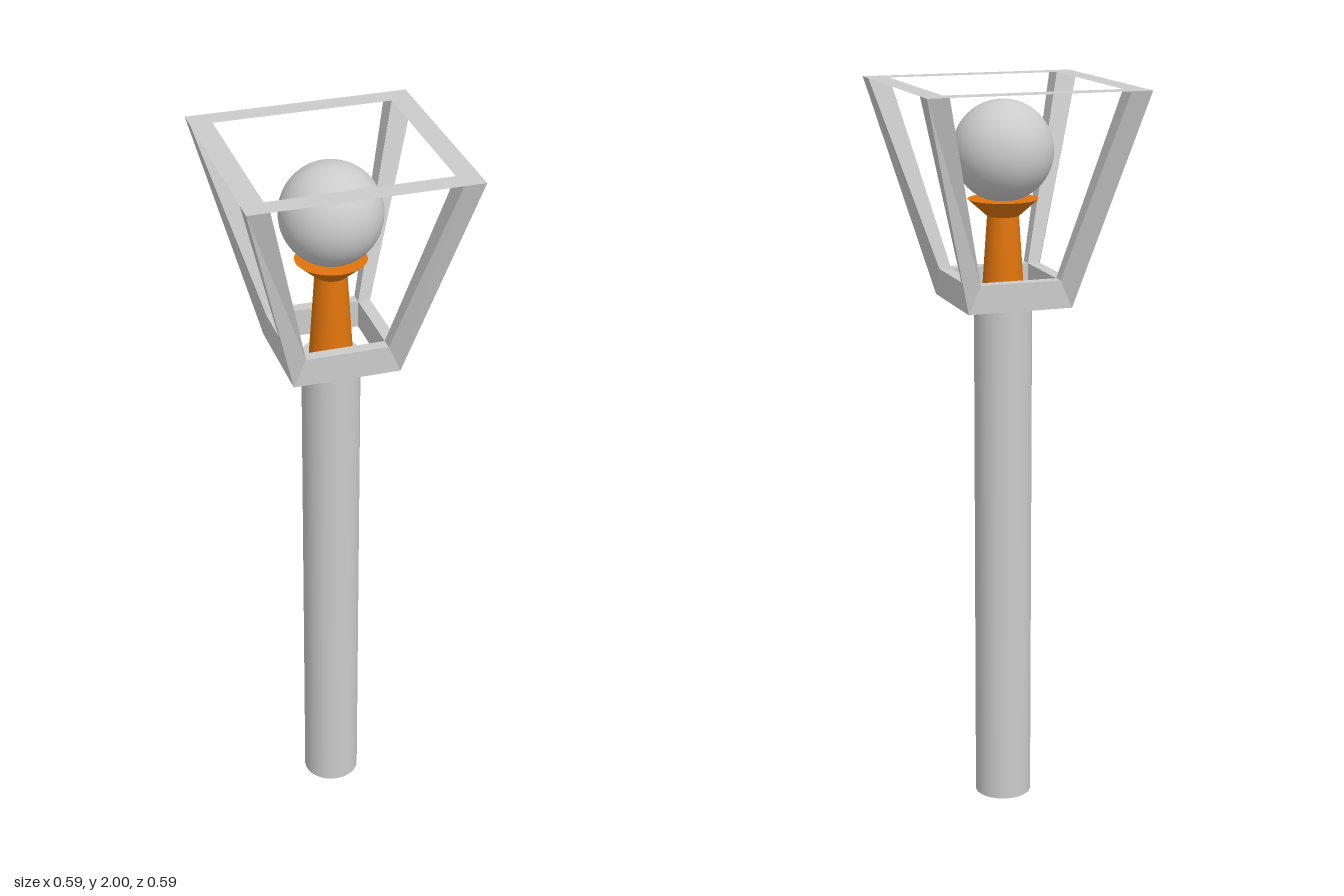
import * as THREE from 'three';

const grey = new THREE.MeshStandardMaterial({ color: 0xcccccc });
const frameGrey = new THREE.MeshStandardMaterial({ color: 0xcccccc, side: THREE.DoubleSide });
const orange = new THREE.MeshStandardMaterial({ color: 0xe0740c });

function add(group, name, geometry, material, y = 0) {
  const mesh = new THREE.Mesh(geometry, material);
  mesh.name = name;
  mesh.position.y = y;
  group.add(mesh);
  return mesh;
}

// Flat-shaded surface from quads whose corners run counter-clockwise
function quadGeometry(quads) {
  const positions = [];
  for (const [a, b, c, d] of quads) positions.push(...a, ...b, ...c, ...a, ...c, ...d);
  const g = new THREE.BufferGeometry();
  g.setAttribute('position', new THREE.Float32BufferAttribute(positions, 3));
  g.computeVertexNormals();
  return g;
}

// One side of the lantern frame
function frameSide() {
  const side = new THREE.Group();
  const corners = (x, y, z) => [[x, y, z], [-x, y, z]]; // right, mirrored left
  const topOuter = corners(0.296, 2, 0.296);
  const topEdge = corners(0.238, 2, 0.296);
  const topInner = corners(0.238, 2, 0.238);
  const baseOuter = corners(0.143, 1.425, 0.143);
  const baseEdge = corners(0.11, 1.5, 0.143);
  const baseInner = corners(0.11, 1.5, 0.11);
  const baseUnder = corners(0.11, 1.425, 0.11);

  // Half posts at both ends: outer strip and the cheek facing the opening
  const posts = [];
  for (const i of [0, 1]) {
    const strip = [baseOuter[i], topOuter[i], topEdge[i], baseEdge[i]];
    const cheek = [baseEdge[i], topEdge[i], topInner[i], baseInner[i]];
    posts.push(...(i ? [strip.reverse(), cheek.reverse()] : [strip, cheek]));
  }
  add(side, 'posts', quadGeometry(posts), frameGrey);

  // Bars that span from one corner to the other
  const span = (a, b) => [a[1], a[0], b[0], b[1]];
  add(side, 'topRim', quadGeometry([span(topOuter, topInner)]), frameGrey);
  add(side, 'baseBar', quadGeometry([
    span(baseOuter, baseEdge),
    span(baseEdge, baseInner),
    span(baseInner, baseUnder),
    span(baseUnder, baseOuter),
  ]), frameGrey);
  return side;
}

export function createModel() {
  const model = new THREE.Group();
  model.name = 'lanternPost';

  // Shaft
  add(model, 'shaft', new THREE.CylinderGeometry(0.078, 0.078, 1.425, 32), grey, 0.7125);

  // Bulb holder: tapered neck with a flared cup
  add(model, 'holderNeck', new THREE.CylinderGeometry(0.042, 0.058, 0.235, 32), orange, 1.5425);
  add(model, 'holderCup', new THREE.CylinderGeometry(0.094, 0.043, 0.045, 32), orange, 1.6775);

  // Globe
  add(model, 'globe', new THREE.SphereGeometry(0.134, 48, 32), grey, 1.826);

  // Lantern frame: the same side four times round
  const frame = new THREE.Group();
  frame.name = 'lanternFrame';
  for (let i = 0; i < 4; i++) {
    const side = frameSide();
    side.name = 'frameSide' + (i + 1);
    side.rotation.y = (i * Math.PI) / 2;
    frame.add(side);
  }
  model.add(frame);
  return model;
}
